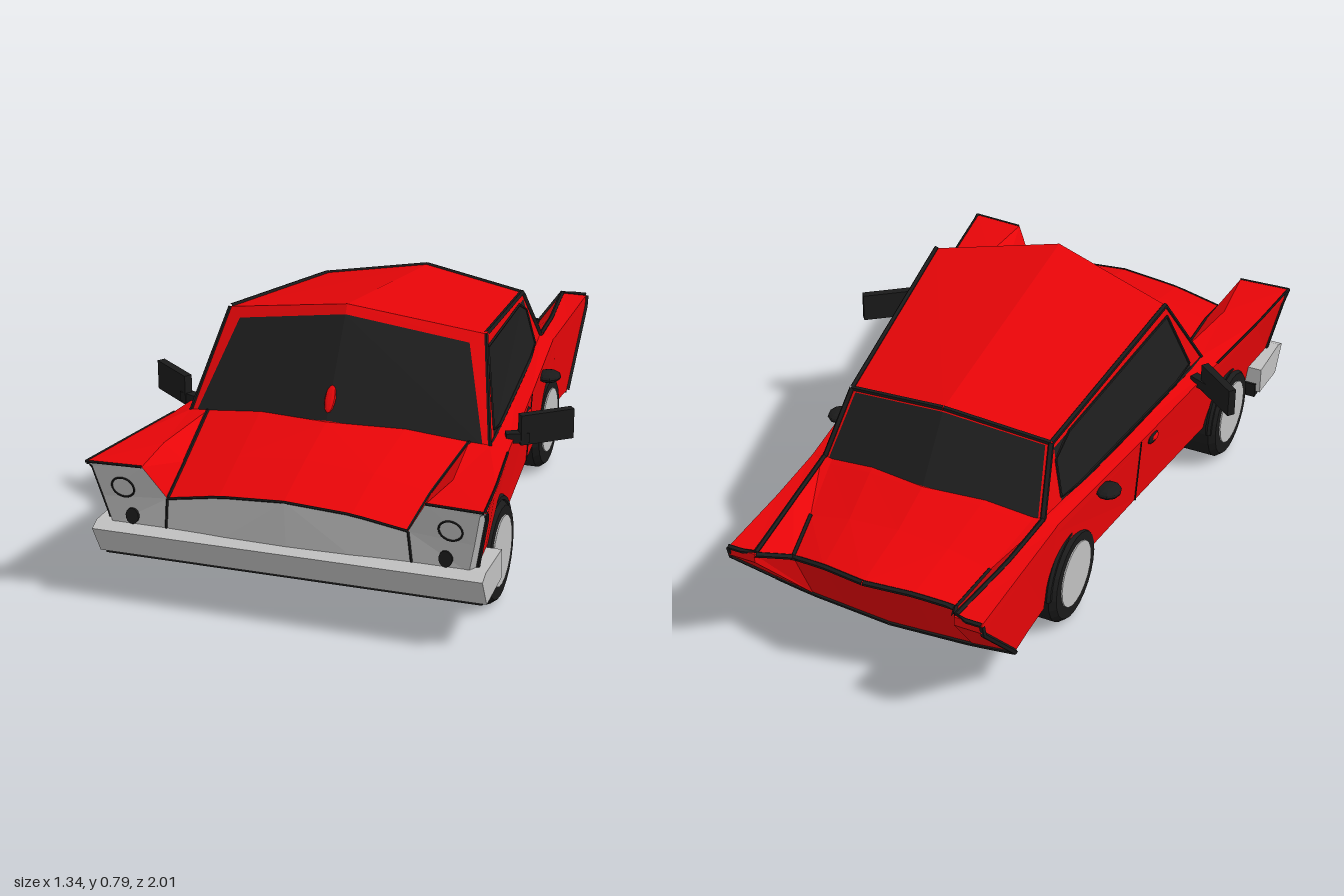
import * as THREE from 'three';

const mat = (name, color) => {
  const m = new THREE.MeshStandardMaterial({ color, flatShading: true });
  m.name = name;
  return m;
};

export function createModel() {
  const car = new THREE.Group();
  car.name = 'car';
  const red = mat('red paint', 0xe60508);
  const black = mat('black trim', 0x1a1a1a);
  const glass = mat('dark glass', 0x1d1d1d);
  const silver = mat('silver metal', 0xc0c0c0);

  const add = (name, geo, material, parent = car) => {
    const m = new THREE.Mesh(geo, material);
    m.name = name;
    parent.add(m);
    return m;
  };
  const lerp = (a, b, t) => a.map((v, i) => v + (b[i] - v) * t);

  // surface through rows of points on the +x half, mirrored to the -x half
  function panel(name, material, ...grids) {
    const pos = [];
    const tri = (a, b, c) => {
      pos.push(...a, ...b, ...c);
      for (const p of [a, c, b]) pos.push(-p[0], p[1], p[2]);
    };
    for (const rows of grids) {
      for (let i = 0; i < rows.length - 1; i++) {
        for (let j = 0; j < rows[i].length - 1; j++) {
          const a = rows[i][j], b = rows[i][j + 1], c = rows[i + 1][j], d = rows[i + 1][j + 1];
          tri(a, b, c);
          tri(b, d, c);
        }
      }
    }
    const g = new THREE.BufferGeometry();
    g.setAttribute('position', new THREE.Float32BufferAttribute(pos, 3));
    g.computeVertexNormals();
    return add(name, g, material);
  }

  // thin dark edge line on both sides
  function trim(name, pts, r = 0.007) {
    for (const s of [1, -1]) {
      const path = new THREE.CurvePath();
      const v = pts.map(p => new THREE.Vector3(p[0] * s, p[1], p[2]));
      for (let i = 0; i < v.length - 1; i++) path.add(new THREE.LineCurve3(v[i], v[i + 1]));
      add(name, new THREE.TubeGeometry(path, (v.length - 1) * 4, r, 5), black);
    }
  }

  // ---- Lower body: deck centre, deck edge, fender inner, fender outer, sill ----
  const stations = [
    [[0, 0.39, 0.965], [0.36, 0.345, 0.95], [0.42, 0.45, 0.985], [0.59, 0.45, 0.995], [0.55, 0.24, 0.915]],
    [[0, 0.445, 0.78], [0.375, 0.39, 0.78], [0.44, 0.44, 0.78], [0.565, 0.435, 0.78], [0.53, 0.18, 0.78]],
    [[0, 0.49, 0.6], [0.41, 0.443, 0.512], [0.47, 0.435, 0.5], [0.525, 0.42, 0.5], [0.505, 0.18, 0.5]],
    [[0, 0.43, 0], [0.36, 0.42, 0], [0.42, 0.415, 0], [0.47, 0.41, 0], [0.455, 0.18, 0]],
    [[0, 0.46, -0.565], [0.34, 0.42, -0.51], [0.37, 0.42, -0.51], [0.415, 0.41, -0.5], [0.405, 0.18, -0.56]],
    [[0, 0.457, -0.575], [0.338, 0.415, -0.53], [0.37, 0.415, -0.53], [0.415, 0.408, -0.53], [0.405, 0.14, -0.57]],
    [[0, 0.405, -0.72], [0.3, 0.36, -0.72], [0.355, 0.405, -0.72], [0.412, 0.402, -0.72], [0.405, 0.135, -0.68]],
    [[0, 0.365, -0.94], [0.27, 0.325, -0.88], [0.325, 0.4, -1], [0.412, 0.4, -1], [0.405, 0.125, -0.77]],
  ];
  const last = stations.length - 1;
  const podSide = [0.588, 0.43, 0.955];
  const finLow = [0.412, 0.37, -1], finLowIn = [0.325, 0.37, -1];
  const tailIn = [0.27, 0.115, -0.78], tailMid = [0, 0.105, -0.79];
  const mid = (c, d) => [d[0] * 0.55, c[1] * 0.68 + d[1] * 0.32, (c[2] + d[2]) / 2];
  panel('body', red, stations.map(([c, d, i, o, b], k) => {
    const shoulder = k === 0 ? podSide : k === last ? finLow : lerp(o, b, 0.12);
    return [c, mid(c, d), d, i, o, shoulder, b];
  }));

  // ---- Underside: flat floor with a recessed well at each wheel ----
  const spine = 0.1, wellTop = 0.33;
  const across = ([x, y, z]) => [[x, y, z], [spine, y, z], [0, y, z]];
  const well = (xa, za, xb, zb) => [
    [[xa, 0.18, za], [spine, 0.18, za]], [[xa, wellTop, za], [spine, wellTop, za]],
    [[xb, wellTop, zb], [spine, wellTop, zb]], [[xb, 0.18, zb], [spine, 0.18, zb]]];
  const wellSide = (za, zb) => [za, zb].map(z => [[spine, wellTop, z], [spine, 0.18, z]]);
  const frontWell = [0.53, 0.78, 0.501, 0.46], rearWell = [0.43, -0.24, 0.405, -0.56];
  panel('floor', black,
    [[0.55, 0.24, 0.915], [0.53, 0.18, 0.78]].map(across),
    [[0.501, 0.18, 0.46], [0.455, 0.18, 0], [0.43, 0.18, -0.24]].map(across),
    [...[[0.405, 0.18, -0.56], [0.405, 0.14, -0.57]].map(across), [[0.405, 0.125, -0.77], tailIn, tailMid]],
    [0.78, 0.46].map(z => [[spine, 0.18, z], [0, 0.18, z]]),
    [-0.24, -0.56].map(z => [[spine, 0.18, z], [0, 0.18, z]]));
  panel('frontWheelWell', black, well(...frontWell), wellSide(0.78, 0.46));
  panel('rearWheelWell', red, well(...rearWell));
  panel('rearWellSide', black, wellSide(-0.24, -0.56));

  // tail panel and fin ends
  const [tc, td, ti, to, tb] = stations[last];
  panel('tailPanel', red, [[tc, mid(tc, td), td], [tailMid, lerp(tailMid, tailIn, 0.55), tailIn]]);
  panel('tailFin', red,
    [[td, ti], [tailIn, finLowIn]],
    [[ti, to], [finLowIn, finLow], [tailIn, tb]]);
  trim('finEdge', [stations[4][2], stations[6][2], ti, to], 0.008);
  trim('finRearEdge', [to, finLow, tb], 0.009);
  trim('tailEdge', [tc, mid(tc, td), td, ti], 0.009);
  trim('tailLowerEdge', [tailMid, tailIn, tb], 0.009);
  trim('finInnerEdge', [stations[6][1], td], 0.008);

  // ---- Nose: grille, headlight pods wrapping the corners, bumper ----
  const [nc, nd, ni, no, nb] = stations[0];
  const grilleFoot = [0.37, 0.24, 0.945];
  panel('grille', silver, [
    [[0, 0.24, 0.955], [0.2, 0.24, 0.952], grilleFoot], [nc, mid(nc, nd), nd]]);
  panel('headlightPod', silver, [
    [grilleFoot, [0.535, 0.24, 0.945], nb],
    [nd, [0.555, 0.335, 0.962], lerp(podSide, nb, 0.5)],
    [ni, [0.575, 0.435, 0.985], podSide],
    [ni, no, no]]);
  trim('grilleEdge', [nc, mid(nc, nd), nd], 0.004);
  trim('grilleSide', [nd, grilleFoot], 0.004);
  trim('podEdge', [ni, no], 0.004);
  trim('podSideEdge', [no, podSide, nb], 0.007);
  trim('fenderLine', [nd, stations[1][1], stations[2][1]], 0.006);
  trim('fenderTopLine', [no, stations[1][3], stations[2][3]], 0.004);
  for (const s of [1, -1]) {
    const ring = add('headlightRing', new THREE.TorusGeometry(0.034, 0.003, 5, 20), black);
    ring.position.set(0.488 * s, 0.372, 0.97);
    ring.rotation.x = 0.25;
    const lamp = add('lowerLamp', new THREE.CylinderGeometry(0.02, 0.02, 0.008, 14), black);
    lamp.position.set(0.47 * s, 0.278, 0.953);
    lamp.rotation.x = Math.PI / 2;
    lamp.scale.z = 1.25;
  }
  const profile = new THREE.Shape([
    [0.78, 0.155], [0.935, 0.145], [0.985, 0.235], [0.95, 0.25], [0.78, 0.245],
  ].map(([z, y]) => new THREE.Vector2(-z, y)));
  const bumperGeo = new THREE.ExtrudeGeometry(profile, { depth: 1.17, bevelEnabled: false });
  bumperGeo.translate(0, 0, -0.585).rotateY(Math.PI / 2);
  add('frontBumper', bumperGeo, silver);
  add('bumperUnderside', new THREE.BoxGeometry(1.14, 0.05, 0.155), black).position.set(0, 0.161, 0.85);

  // ---- Cabin ----
  const W0 = [0, 0.49, 0.6], W1 = [0.47, 0.43, 0.5], R1 = [0.37, 0.41, -0.51], R0 = [0, 0.46, -0.565];
  const T0 = [0, 0.79, 0.4], T1 = [0.405, 0.712, 0.32], T2 = [0.335, 0.605, -0.38], T3 = [0, 0.655, -0.42];
  panel('roof', red, [[T0, T1], [T3, T2]]);

  // pane set in a painted frame; corners a b / c d, glass corners as fractions
  function framedPane(name, [a, b, c, d], uv) {
    const at = ([u, v]) => lerp(lerp(a, b, u), lerp(c, d, u), v);
    const [p, q, r, s] = uv.map(at);
    panel(name + 'Frame', red, [[a, b], [p, q]], [[r, s], [c, d]], [[a, p], [c, r]], [[q, b], [s, d]]);
    panel(name + 'Glass', glass, [[p, q], [r, s]]);
    return [p, q, s, r, p];
  }
  framedPane('windshield', [W0, W1, T0, T1], [[0, 0.01], [0.955, 0.01], [0, 0.91], [0.88, 0.89]]);
  const sideRim = framedPane('sideWindow', [T1, W1, T2, R1], [[0.13, 0.03], [0.99, 0.07], [0.12, 0.97], [0.98, 0.89]]);
  framedPane('rearWindow', [T3, T2, R0, R1], [[0, 0.05], [0.95, 0.05], [0, 0.99], [0.96, 0.98]]);
  trim('sideWindowRim', sideRim, 0.005);
  trim('roofSideEdge', [T1, T2], 0.009);
  trim('roofRearEdge', [T3, T2], 0.008);
  trim('frontPillarEdge', [T1, W1], 0.006);
  trim('rearPillarEdge', [T2, R1], 0.01);
  trim('beltLine', [W1, R1], 0.006);

  // ornament at the foot of the windshield
  const ornament = add('hoodOrnament', new THREE.SphereGeometry(1, 10, 8), red);
  ornament.scale.set(0.017, 0.042, 0.007);
  ornament.position.set(0, 0.548, 0.562);
  ornament.rotation.x = -0.588;

  // ---- Doors: seam, handles, mirrors ----
  trim('doorSeam', [[0.47, 0.41, 0], [0.456, 0.18, 0]], 0.003);
  for (const s of [1, -1]) {
    const ball = (name, m, p, sc) => {
      const b = add(name, new THREE.SphereGeometry(1, 10, 8), m);
      b.position.set(p[0] * s, p[1], p[2]);
      b.scale.set(...sc);
    };
    ball('frontHandle', black, [0.472, 0.378, 0.085], [0.015, 0.02, 0.038]);
    ball('frontHandleGrip', red, [0.476, 0.38, 0.085], [0.014, 0.012, 0.028]);
    ball('rearHandle', black, [0.465, 0.38, -0.24], [0.04, 0.018, 0.045]);
    const mirror = add('sideMirror', new THREE.BoxGeometry(0.17, 0.094, 0.025), black);
    mirror.position.set(0.595 * s, 0.445, 0.325);
    mirror.rotation.y = 0.66 * s;
    const arm = add('mirrorArm', new THREE.BoxGeometry(0.07, 0.03, 0.03), black);
    arm.position.set(0.52 * s, 0.42, 0.375);
    arm.rotation.y = 0.4 * s;
  }

  // ---- Wheels: z, inner x, outer x ----
  for (const [name, z, x0, x1] of [['front', 0.62, 0.32, 0.542], ['rear', -0.4, 0.19, 0.432]]) {
    for (const s of [1, -1]) {
      const wheel = new THREE.Group();
      wheel.name = name + 'Wheel';
      wheel.position.set(s * (x0 + x1) / 2, 0.156, z);
      const w = x1 - x0;
      const tread = [[0, -w / 2], [0.14, -w / 2], [0.155, 0.02 - w / 2], [0.155, w / 2 - 0.02], [0.14, w / 2], [0, w / 2]]
        .map(p => new THREE.Vector2(...p));
      add('tyre', new THREE.LatheGeometry(tread, 24).rotateZ(Math.PI / 2), black, wheel);
      const hub = add('hub', new THREE.CylinderGeometry(0.107, 0.107, w + 0.008, 20).rotateZ(Math.PI / 2), silver, wheel);
      hub.position.y = 0.006;
      car.add(wheel);
      const arch = add(name + 'WheelArch', new THREE.TorusGeometry(0.156, 0.011, 6, 18, Math.PI).rotateY(Math.PI / 2), black);
      arch.position.set(s * (x1 - 0.02), 0.16, z);
    }
  }
  return car;
}
